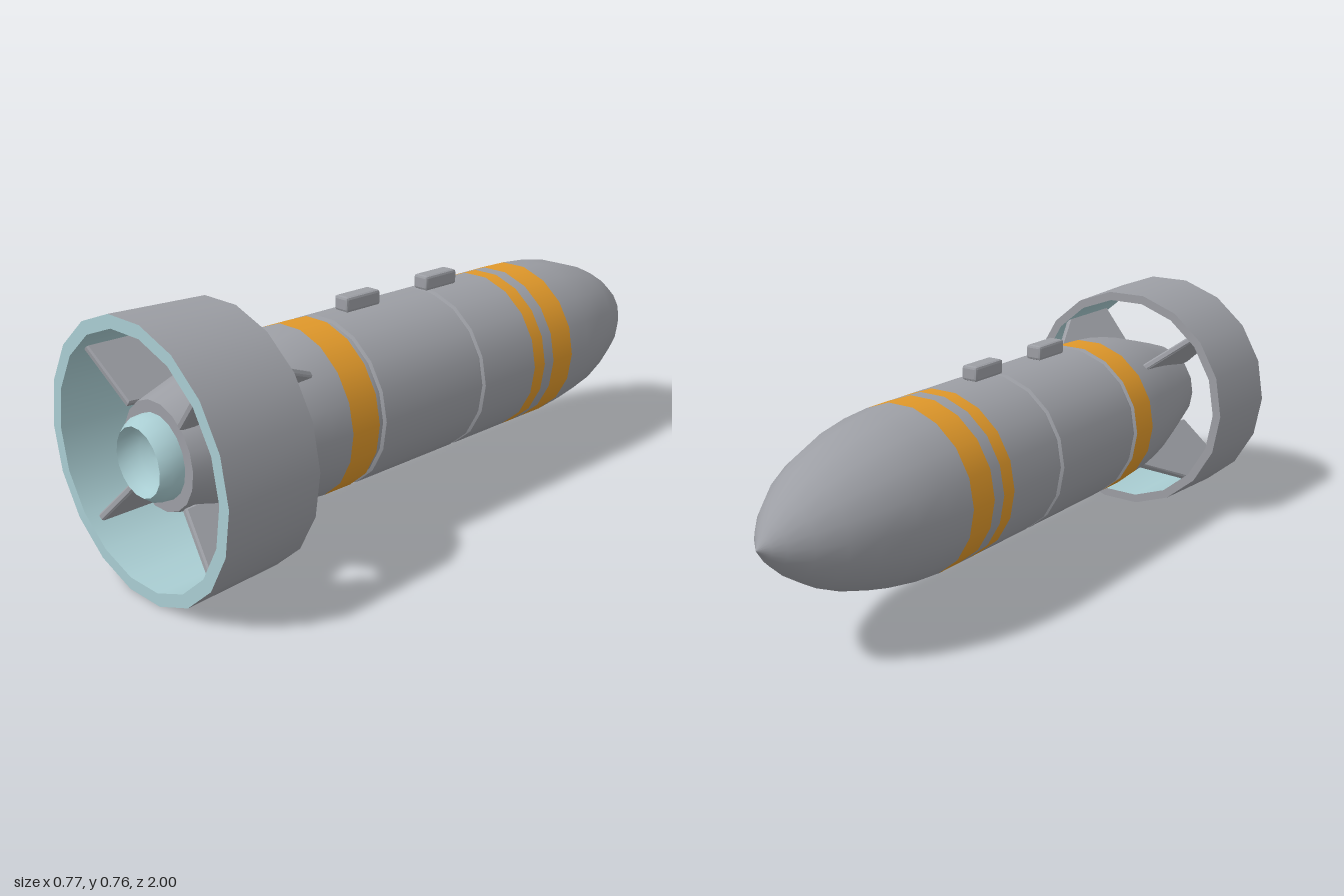
import * as THREE from 'three';
import { RoundedBoxGeometry } from 'three/addons/geometries/RoundedBoxGeometry.js';
import { toCreasedNormals } from 'three/addons/utils/BufferGeometryUtils.js';

const SIDES = 18;
const AXIS_Y = 0.378;
const R = 0.249;

function material(name, color) {
  const m = new THREE.MeshStandardMaterial({ color });
  m.name = name;
  return m;
}

export function createModel() {
  const grey = material('grey metal', 0x9c9ea4);
  const orange = material('orange paint', 0xe0982a);
  const teal = material('pale teal', 0xa9cdd2);

  const model = new THREE.Group();
  model.name = 'bomb';
  const body = new THREE.Group();
  body.name = 'body';
  body.position.y = AXIS_Y;
  model.add(body);

  function add(name, geometry, mat, parent = body) {
    const mesh = new THREE.Mesh(geometry, mat);
    mesh.name = name;
    parent.add(mesh);
    return mesh;
  }

  // Revolves a [z, radius] profile round the long axis; rising z faces outward
  function turned(name, profile, mat, crease = false) {
    const pts = profile.map(([z, r]) => new THREE.Vector2(r, z));
    let g = new THREE.LatheGeometry(pts, SIDES, Math.PI / SIDES);
    g.rotateX(Math.PI / 2);
    if (crease) g = toCreasedNormals(g, 0.5);
    return add(name, g, mat);
  }

  // Nose
  turned('nose', [
    [-1, 0], [-0.975, 0.03], [-0.95, 0.06], [-0.9, 0.106], [-0.83, 0.154],
    [-0.75, 0.191], [-0.65, 0.223], [-0.55, 0.241], [-0.455, R],
  ], grey);

  // Painted bands and plain barrel sections
  const band = (name, z0, z1, mat) => turned(name, [[z0, R], [z1, R]], mat);
  band('wideNoseStripe', -0.455, -0.363, orange);
  band('stripeGap', -0.363, -0.32, grey);
  band('narrowNoseStripe', -0.32, -0.272, orange);
  band('frontBarrel', -0.272, -0.046, grey);
  band('middleBarrel', -0.026, 0.36, grey);
  band('tailStripe', 0.386, 0.483, orange);

  // Sunken seams between the barrel sections
  for (const [z0, z1] of [[-0.046, -0.026], [0.36, 0.386]]) {
    turned('seam', [
      [z0, R], [z0 + 0.005, R - 0.009], [z1 - 0.005, R - 0.009], [z1, R],
    ], grey, true);
  }

  // Tapering tail and its flat end
  turned('tailCone', [
    [0.483, R], [0.55, 0.244], [0.63, 0.232], [0.71, 0.215], [0.82, 0.184], [0.93, 0.15],
  ], grey);
  turned('tailEnd', [[0.93, 0.15], [0.93, 0.1]], grey);

  // Nozzle with a hollow bowl
  turned('nozzle', [[0.93, 0.117], [0.965, 0.114], [0.99, 0.095]], teal);
  turned('nozzleBowl', [
    [0.99, 0.095], [0.965, 0.085], [0.945, 0.06], [0.935, 0.03], [0.932, 0],
  ], teal);

  // Shroud ring round the fins
  turned('shroudOuter', [[0.71, 0.373], [1, 0.384]], grey);
  turned('shroudFrontRim', [[0.71, 0.345], [0.71, 0.373]], grey);
  turned('shroudRearRim', [[1, 0.384], [1, 0.347]], teal);
  turned('shroudInner', [[1, 0.347], [0.71, 0.345]], teal);

  // Four diagonal fins, drawn as (z, radius) and extruded with a small chamfer
  const finShape = new THREE.Shape([
    [0.535, 0.225], [0.715, 0.335], [0.73, 0.346], [0.965, 0.346], [0.935, 0.16], [0.8, 0.15], [0.6, 0.2],
  ].map(([z, r]) => new THREE.Vector2(z, r)));
  const finGeometry = new THREE.ExtrudeGeometry(finShape, {
    depth: 0.012, bevelEnabled: true, bevelThickness: 0.005, bevelSize: 0.005,
    bevelOffset: -0.002, bevelSegments: 1,
  });
  finGeometry.translate(0, 0, -0.006);
  finGeometry.rotateY(-Math.PI / 2); // shape x now runs along z
  for (let i = 0; i < 4; i++) {
    add('fin', finGeometry, grey).rotation.z = Math.PI / 4 + (i * Math.PI) / 2;
  }

  // Two chamfered lugs on top
  for (const z of [0.23, -0.09]) {
    const lug = add('lug', toCreasedNormals(new RoundedBoxGeometry(0.054, 0.045, 0.13, 1, 0.008), 0.3), grey);
    lug.position.set(0, 0.2695, z);
  }

  return model;
}
